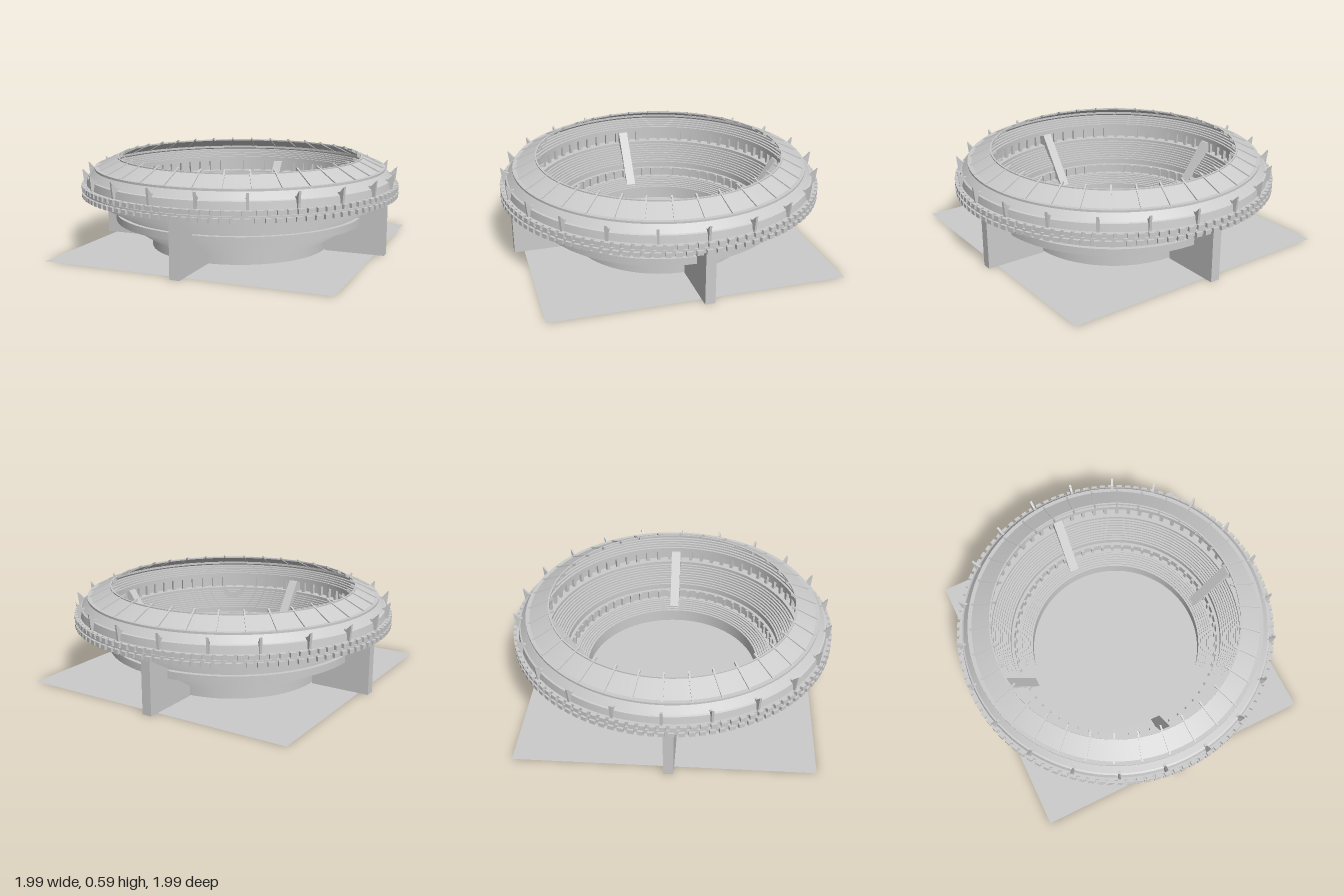
import * as THREE from 'three';
import { toCreasedNormals } from 'three/addons/utils/BufferGeometryUtils.js';

const grey = new THREE.MeshStandardMaterial({ color: 0xcccccc });
const greyDouble = new THREE.MeshStandardMaterial({ color: 0xcccccc, side: THREE.DoubleSide });
const SEGMENTS = 88;

// Revolved part with sharp profile edges; the profile runs up the outside
function ring(name, profile, material = grey) {
  const points = profile.map(([r, y]) => new THREE.Vector2(r, y));
  const mesh = new THREE.Mesh(toCreasedNormals(new THREE.LatheGeometry(points, SEGMENTS), 0.4), material);
  mesh.name = name;
  return mesh;
}

// Closed band of rectangular section
function band(name, r0, r1, y0, y1) {
  return ring(name, [[r0, y0], [r1, y0], [r1, y1], [r0, y1], [r0, y0]]);
}

// Staircase points between two profile ends; risers come first or treads come first
function steps(from, to, count, riserFirst) {
  const out = [from];
  const dr = (to[0] - from[0]) / count, dy = (to[1] - from[1]) / count;
  for (let i = 0; i < count; i++) {
    const r = from[0] + dr * i, y = from[1] + dy * i;
    out.push(riserFirst ? [r, y + dy] : [r + dr, y], [r + dr, y + dy]);
  }
  return out;
}

// Flat plate drawn in radius and height, centred on its thickness
function plate(profile, thickness) {
  const shape = new THREE.Shape(profile.map(([r, y]) => new THREE.Vector2(r, y)));
  const geometry = new THREE.ExtrudeGeometry(shape, { depth: thickness, bevelEnabled: false });
  return geometry.translate(0, 0, -thickness / 2);
}

// Copies of one geometry around the vertical axis, the first on +x
function around(name, geometry, count, offset = 0) {
  const group = new THREE.Group();
  group.name = name;
  for (let i = 0; i < count; i++) {
    const mesh = new THREE.Mesh(geometry, grey);
    mesh.name = name + 'Part';
    mesh.rotation.y = ((i + offset) / count) * Math.PI * 2;
    group.add(mesh);
  }
  return group;
}

function post(r, y, depth, height, width) {
  return new THREE.BoxGeometry(depth, height, width).translate(r, y, 0);
}

export function createModel() {
  const model = new THREE.Group();
  model.name = 'stadium';

  // Square ground
  const ground = new THREE.Mesh(new THREE.PlaneGeometry(1.76, 1.76).rotateX(-Math.PI / 2), greyDouble);
  ground.name = 'ground';
  model.add(ground);

  // Bowl: stepped underside going up, then three seating tiers going down
  model.add(ring('bowl', [
    [0.56, 0],
    ...steps([0.56, 0.065], [0.73, 0.175], 8, false),
    ...steps([0.74, 0.22], [0.95, 0.34], 11, false),
    [0.95, 0.41],
    [0.88, 0.49],
    ...steps([0.88, 0.485], [0.81, 0.43], 5, false),
    [0.81, 0.41],
    [0.85, 0.41],
    [0.85, 0.34],
    [0.79, 0.34],
    ...steps([0.79, 0.32], [0.68, 0.21], 9, false),
    [0.68, 0.185],
    [0.66, 0.185],
    [0.66, 0.13],
    [0.63, 0.13],
    ...steps([0.63, 0.125], [0.55, 0.075], 6, false),
    [0.55, 0],
  ], greyDouble));

  // Walkway ring halfway up the underside
  model.add(band('walkway', 0.70, 0.785, 0.175, 0.22));

  // Gallery posts between the tiers
  model.add(around('lowerGallery', post(0.655, 0.157, 0.02, 0.055, 0.018), 60));
  model.add(around('upperGallery', post(0.825, 0.375, 0.02, 0.07, 0.022), 68));

  // Outer promenade ring with two rows of blocks
  model.add(band('promenade', 0.93, 0.975, 0.342, 0.408));
  model.add(band('promenadeLip', 0.94, 0.985, 0.371, 0.379));
  model.add(around('lowerBlocks', post(0.978, 0.354, 0.03, 0.026, 0.036), 110));
  model.add(around('upperBlocks', post(0.978, 0.396, 0.03, 0.026, 0.036), 110, 0.15));

  // Sloping facade and its rim
  model.add(ring('facade', [[0.962, 0.405], [0.955, 0.452], [0.945, 0.456], [0.908, 0.5]], greyDouble));
  model.add(band('rim', 0.885, 0.91, 0.495, 0.51));

  // Fins on the facade
  model.add(around('fins', plate([[0.92, 0.41], [0.975, 0.41], [0.985, 0.505], [0.95, 0.47], [0.92, 0.47]], 0.014), 22));

  // Canopy with radial ribs
  model.add(ring('canopy', [[0.89, 0.508], [0.765, 0.568]], greyDouble));
  model.add(band('canopyEdge', 0.76, 0.77, 0.564, 0.573));
  model.add(around('canopyRibs', plate([[0.9, 0.5], [0.9, 0.512], [0.735, 0.588], [0.735, 0.573]], 0.01), 34));

  // Four pylons, each carrying a stair ramp into the bowl
  const pylon = plate([[0.57, 0], [0.94, 0], [0.94, 0.36], [0.87, 0.43], [0.8, 0.41], [0.57, 0.085]], 0.06);
  [-0.025, -0.03, -0.035, 0].forEach((shift, i) => {
    const holder = new THREE.Group();
    holder.name = 'pylon';
    holder.rotation.y = (i * Math.PI) / 2;
    const mesh = new THREE.Mesh(pylon, grey);
    mesh.name = 'pylonRamp';
    mesh.position.z = shift;
    holder.add(mesh);
    model.add(holder);
  });

  return model;
}
